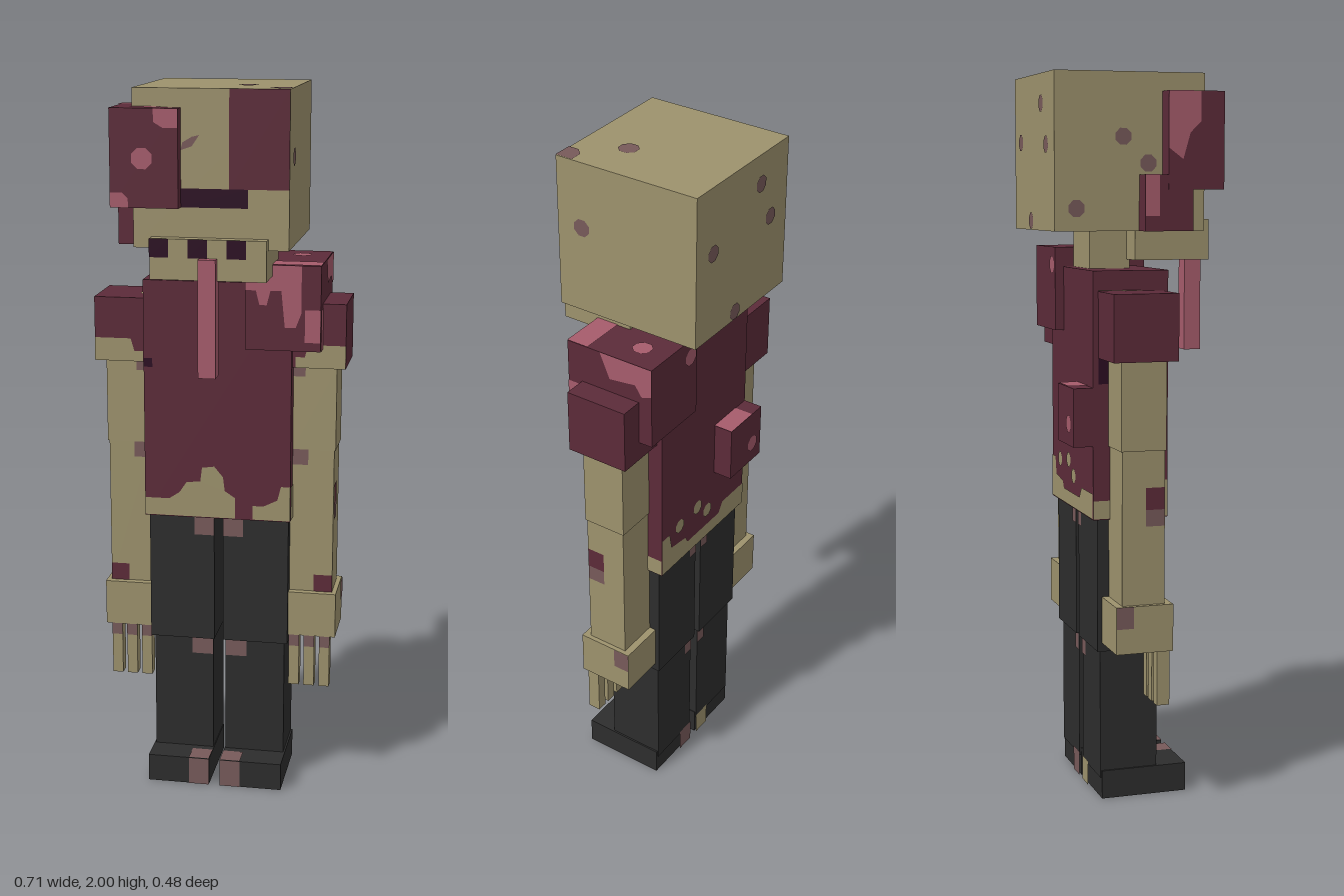
import * as THREE from 'three';

const material = (name, color) => new THREE.MeshStandardMaterial({ name, color });

export function createModel() {
  const skin = material('tan skin', 0x9d926d);
  const flesh = material('maroon flesh', 0x5c2b39);
  const pink = material('raw pink', 0xa65c6c);
  const cloth = material('charcoal cloth', 0x2d2d2d);
  const dark = material('dark mouth', 0x2b0c22);
  const bruise = material('brown bruise', 0x775a5a);

  const model = new THREE.Group();
  model.name = 'figure';

  // Box given by its limits on each axis
  function box(name, mat, [x0, x1], [y0, y1], [z0, z1], parent = model) {
    const mesh = new THREE.Mesh(new THREE.BoxGeometry(x1 - x0, y1 - y0, z1 - z0), mat);
    mesh.position.set((x0 + x1) / 2, (y0 + y1) / 2, (z0 + z1) / 2);
    mesh.name = name;
    parent.add(mesh);
    return mesh;
  }

  // Flat patch on a face; points are model coordinates in that face's plane:
  // (x, y) for front and back, (z, y) for the sides, (x, z) for top and bottom
  const faces = {
    front: { rot: [0, 0, 0], su: 1, sv: 1, axis: 'z', dir: 1 },
    back: { rot: [0, Math.PI, 0], su: -1, sv: 1, axis: 'z', dir: -1 },
    left: { rot: [0, Math.PI / 2, 0], su: -1, sv: 1, axis: 'x', dir: 1 },
    right: { rot: [0, -Math.PI / 2, 0], su: 1, sv: 1, axis: 'x', dir: -1 },
    top: { rot: [-Math.PI / 2, 0, 0], su: 1, sv: -1, axis: 'y', dir: 1 },
    bottom: { rot: [Math.PI / 2, 0, 0], su: 1, sv: 1, axis: 'y', dir: -1 },
  };
  function patch(name, mat, face, at, points, parent = model) {
    const f = faces[face];
    const shape = new THREE.Shape(points.map(([u, v]) => new THREE.Vector2(u * f.su, v * f.sv)));
    const mesh = new THREE.Mesh(new THREE.ShapeGeometry(shape), mat);
    mesh.rotation.set(...f.rot);
    mesh.position[f.axis] = at + f.dir * 0.002;
    mesh.name = name;
    parent.add(mesh);
  }
  const rect = (u0, u1, v0, v1) => [[u0, v0], [u1, v0], [u1, v1], [u0, v1]];
  const spot = (u, v, r) => Array.from({ length: 8 }, (_, i) => {
    const a = (i + 0.5) * Math.PI / 4;
    return [u + r * Math.cos(a), v + r * Math.sin(a)];
  });

  // Head with a torn face
  box('head', skin, [-0.21, 0.21], [1.58, 2], [-0.24, 0.18]);
  patch('tornFace', flesh, 'front', 0.18, rect(0.05, 0.21, 1.74, 2));
  patch('mouth', dark, 'front', 0.18, rect(-0.08, 0.1, 1.69, 1.74));
  patch('scar', bruise, 'front', 0.18,
    [[-0.08, 1.84], [-0.05, 1.85], [-0.03, 1.88], [-0.05, 1.875], [-0.075, 1.86]]);
  patch('crownBruise', bruise, 'top', 2, spot(0.08, 0.05, 0.028));
  patch('crownCornerBruise', bruise, 'top', 2,
    [[0.155, 0.18], [0.155, 0.15], [0.175, 0.13], [0.21, 0.13], [0.21, 0.18]]);
  patch('templeBruise', bruise, 'left', 0.21, spot(0.105, 1.82, 0.025));
  for (const [x, y] of [[0.137, 1.82], [-0.08, 1.92], [-0.13, 1.81], [0.03, 1.605]])
    patch('backHeadBruise', bruise, 'back', -0.24, spot(x, y, 0.024));
  for (const [z, y] of [[-0.05, 1.83], [-0.18, 1.64], [0.02, 1.76]])
    patch('cheekBruise', bruise, 'right', -0.21, spot(z, y, 0.024));

  // Growth wrapped round the right eye
  box('eyeGrowth', flesh, [-0.264, -0.08], [1.69, 1.95], [0.18, 0.217]);
  box('sideGrowth', flesh, [-0.264, -0.21], [1.69, 1.95], [0.06, 0.18]);
  box('cheekGrowth', flesh, [-0.263, -0.21], [1.58, 1.73], [-0.005, 0.13]);
  patch('eyeGrowthSpot', pink, 'front', 0.217, spot(-0.177, 1.82, 0.03));
  patch('eyeGrowthCorner', pink, 'front', 0.217,
    [[-0.145, 1.95], [-0.145, 1.915], [-0.12, 1.9], [-0.08, 1.9], [-0.08, 1.95]]);
  patch('eyeGrowthLowCorner', pink, 'front', 0.217,
    [[-0.264, 1.69], [-0.215, 1.69], [-0.215, 1.715], [-0.23, 1.73], [-0.264, 1.73]]);
  patch('eyeGrowthTop', pink, 'top', 1.95, rect(-0.21, -0.13, 0.18, 0.217));
  patch('sideGrowthTop', pink, 'top', 1.95, rect(-0.264, -0.21, 0.06, 0.12));
  patch('sideGrowthStreak', pink, 'right', -0.264,
    [[0.06, 1.95], [0.06, 1.8], [0.1, 1.77], [0.12, 1.84], [0.15, 1.87], [0.15, 1.95]]);
  patch('cheekGrowthStreak', pink, 'right', -0.264, rect(-0.005, 0.035, 1.62, 1.73));

  // Neck, hanging jaw with tooth gaps, and tongue
  box('neck', skin, [-0.08, 0.08], [1.47, 1.58], [-0.106, 0.01]);
  box('jaw', skin, [-0.16, 0.155], [1.5, 1.61], [0, 0.212]);
  for (const x of [-0.135, -0.03, 0.075])
    patch('toothGap', dark, 'front', 0.212, rect(x - 0.026, x + 0.026, 1.56, 1.61));
  box('tongue', pink, [-0.025, 0.023], [1.24, 1.56], [0.19, 0.238]);

  // Torso with a ragged hem
  box('torso', flesh, [-0.21, 0.206], [0.797, 1.475], [-0.135, 0.078]);
  patch('frontHem', skin, 'front', 0.078, [
    [-0.21, 0.8], [0.05, 0.8], [0.05, 0.86], [0.02, 0.88], [0.015, 0.92], [-0.01, 0.95],
    [-0.045, 0.945], [-0.05, 0.905], [-0.09, 0.9], [-0.11, 0.87], [-0.14, 0.85], [-0.21, 0.85]]);
  patch('frontHemCorner', skin, 'front', 0.078, [
    [0.1, 0.8], [0.206, 0.8], [0.206, 0.9], [0.18, 0.9], [0.17, 0.86], [0.13, 0.84], [0.1, 0.84]]);
  patch('backHem', skin, 'back', -0.135, [
    [-0.21, 0.8], [0.206, 0.8], [0.206, 0.92], [0.17, 0.92], [0.16, 0.87], [0.09, 0.86],
    [0.08, 0.84], [-0.08, 0.84], [-0.1, 0.87], [-0.21, 0.87]]);
  for (const [x, y] of [[0.12, 0.92], [-0.02, 0.89], [0.03, 0.93]])
    patch('backHole', skin, 'back', -0.135, spot(x, y, 0.022));
  for (const [side, x] of [['left', 0.206], ['right', -0.21]])
    patch('sideHem', skin, side, x,
      [[-0.135, 0.8], [0.078, 0.8], [0.078, 0.9], [0, 0.9], [-0.02, 0.85], [-0.135, 0.85]]);
  patch('underside', skin, 'bottom', 0.797, rect(-0.21, 0.206, -0.135, 0.078));
  patch('chestStain', dark, 'front', 0.078, rect(-0.21, -0.185, 1.23, 1.255));
  patch('flankStain', dark, 'right', -0.21, rect(-0.12, -0.08, 1.17, 1.24));

  // Growth over the left shoulder
  box('shoulderGrowth', flesh, [0.08, 0.288], [1.295, 1.53], [-0.16, 0.104]);
  patch('shoulderPatch', pink, 'front', 0.104, [
    [0.08, 1.53], [0.08, 1.46], [0.11, 1.46], [0.12, 1.42], [0.14, 1.42], [0.15, 1.46],
    [0.18, 1.46], [0.19, 1.36], [0.22, 1.36], [0.235, 1.4], [0.235, 1.53]]);
  patch('shoulderCorner', pink, 'front', 0.104, rect(0.245, 0.288, 1.32, 1.41));
  patch('shoulderTop', pink, 'top', 1.53, rect(0.08, 0.288, 0.04, 0.104));
  patch('shoulderTopSpot', pink, 'top', 1.53, spot(0.212, -0.08, 0.028));
  patch('shoulderSide', pink, 'left', 0.288,
    [[0, 1.53], [-0.16, 1.53], [-0.16, 1.45], [-0.13, 1.44], [-0.11, 1.47], [-0.03, 1.46]]);
  patch('shoulderSideFront', pink, 'left', 0.288, rect(0.063, 0.104, 1.295, 1.41));
  patch('shoulderBackSpot', pink, 'back', -0.16, spot(0.11, 1.48, 0.026));

  // Growth on the back
  box('backGrowth', flesh, [-0.21, -0.055], [1, 1.16], [-0.19, -0.13]);
  patch('backGrowthTop', pink, 'top', 1.16, rect(-0.16, -0.055, -0.19, -0.135));
  patch('backGrowthSpot', pink, 'back', -0.19, spot(-0.165, 1.06, 0.025));

  for (const s of [1, -1]) {
    const side = s > 0 ? 'left' : 'right';
    const span = (a, b) => (s > 0 ? [a, b] : [-b, -a]);
    const mrect = (a, b, v0, v1) => rect(...span(a, b), v0, v1);

    // Arm: sleeve, upper arm, forearm, hand, fingers
    const arm = new THREE.Group();
    arm.name = side + 'Arm';
    model.add(arm);
    box('sleeve', flesh, span(0.205, 0.353), [1.24, 1.42], [-0.12, 0.06], arm);
    patch('sleeveTear', skin, 'front', 0.06, [
      [s * 0.215, 1.24], [s * 0.353, 1.24], [s * 0.353, 1.305], [s * 0.25, 1.305],
      [s * 0.24, 1.27], [s * 0.215, 1.27]], arm);
    patch('sleeveTopSeam', skin, 'top', 1.42, mrect(0.205, 0.235, -0.12, 0), arm);
    patch('sleeveUnderside', skin, 'bottom', 1.24, mrect(0.205, 0.353, -0.12, 0.06), arm);
    box('upperArm', skin, span(0.205, 0.327), [1, 1.24], [-0.092, 0.035], arm);
    box('forearm', skin, span(0.2, 0.323), [0.57, 1], [-0.088, 0.032], arm);
    patch('armpitBruise', bruise, 'front', 0.035, mrect(0.205, 0.24, 1.21, 1.24), arm);
    patch('elbowBruise', bruise, 'front', 0.032, mrect(0.205, 0.25, 0.955, 1), arm);
    patch('wristWound', flesh, 'front', 0.032, mrect(0.27, 0.323, 0.58, 0.63), arm);
    patch('forearmWound', flesh, side, s * 0.323, rect(-0.022, 0.03, 0.84, 0.9), arm);
    patch('forearmBruise', bruise, side, s * 0.323, rect(-0.022, 0.03, 0.795, 0.84), arm);
    box('hand', skin, span(0.2, 0.336), [0.45, 0.58], [-0.108, 0.053], arm);
    patch('handBruise', bruise, side, s * 0.336, rect(-0.108, -0.06, 0.52, 0.58), arm);
    for (const x of [0.217, 0.261, 0.305]) {
      box('finger', skin, span(x - 0.015, x + 0.015), [0.295, 0.45], [0.012, 0.048], arm);
      patch('knuckleBruise', bruise, 'front', 0.048, mrect(x - 0.015, x + 0.015, 0.415, 0.45), arm);
    }

    // Leg: thigh, shin, foot
    const leg = new THREE.Group();
    leg.name = side + 'Leg';
    model.add(leg);
    box('thigh', cloth, span(0.013, 0.2), [0.425, 0.795], [-0.12, 0.065], leg);
    box('shin', cloth, span(0.018, 0.19), [0.06, 0.45], [-0.11, 0.055], leg);
    box('foot', cloth, span(0.016, 0.195), [0, 0.08], [-0.106, 0.14], leg);
    patch('hipTear', bruise, 'front', 0.065, mrect(0.013, 0.07, 0.742, 0.795), leg);
    patch('hipTearBack', bruise, 'back', -0.12, mrect(0.013, 0.045, 0.75, 0.795), leg);
    patch('kneeTear', bruise, 'front', 0.055, mrect(0.018, 0.08, 0.375, 0.425), leg);
    patch('kneeTearBack', bruise, 'back', -0.11, mrect(0.018, 0.05, 0.375, 0.425), leg);
    patch('toe', bruise, 'front', 0.14, mrect(0.016, 0.075, 0, 0.08), leg);
    patch('toeTop', bruise, 'top', 0.08, mrect(0.016, 0.075, 0.08, 0.14), leg);
    patch('heel', s > 0 ? bruise : skin, 'back', -0.11, mrect(0.016, 0.075, 0, 0.07), leg);
  }
  return model;
}
